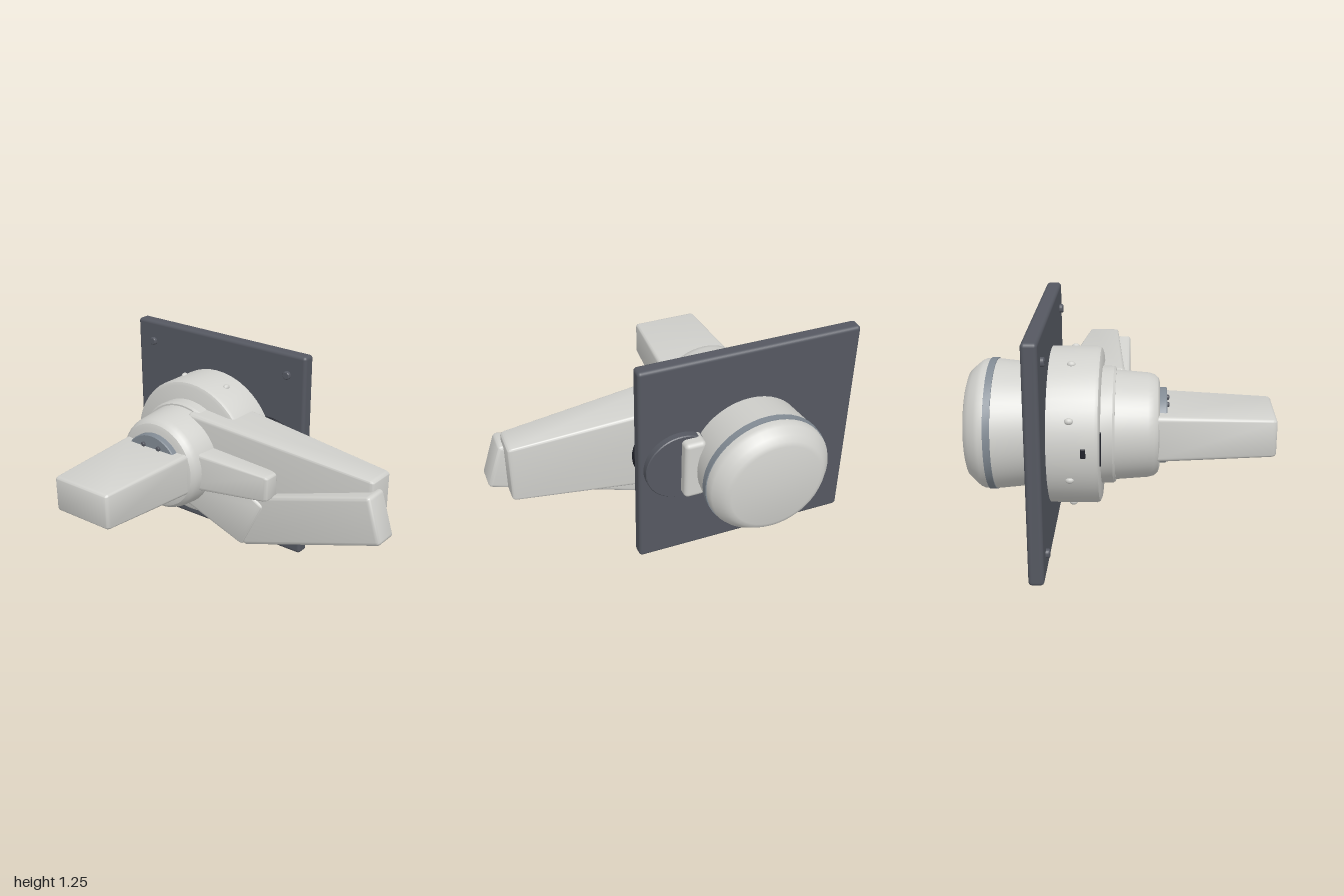
import * as THREE from 'three';
import { toCreasedNormals } from 'three/addons/utils/BufferGeometryUtils.js';
import { RoundedBoxGeometry } from 'three/addons/geometries/RoundedBoxGeometry.js';

const material = (name, color) => new THREE.MeshStandardMaterial({ name, color });
const CX = -0.375, CY = 0.635; // main axis of the mechanism

export function createModel() {
  const model = new THREE.Group();
  model.name = 'latchMechanism';
  const shell = material('lightGrey', 0xd0d0cc);
  const slate = material('slate', 0x555861);
  const steel = material('blueGrey', 0x828b94);
  const black = material('black', 0x20222a);

  function add(name, geometry, mat, x, y, z) {
    const mesh = new THREE.Mesh(geometry, mat);
    mesh.name = name;
    mesh.position.set(x, y, z);
    model.add(mesh);
    return mesh;
  }

  // Turned part on a z axis; profile is [radius, z] from back to front
  function turned(name, profile, mat, x = CX, y = CY) {
    const points = profile.map(([r, z]) => new THREE.Vector2(r, z));
    const g = toCreasedNormals(new THREE.LatheGeometry(points, 48), 0.5);
    return add(name, g.rotateX(Math.PI / 2), mat, x, y, 0);
  }

  const disc = (name, r, z0, z1, mat, x, y) =>
    turned(name, [[0, z0], [r - 0.005, z0], [r, z0 + 0.005], [r, z1 - 0.005], [r - 0.005, z1], [0, z1]], mat, x, y);

  const block = (name, w, h, d, radius, mat, x, y, z) =>
    add(name, new RoundedBoxGeometry(w, h, d, 3, radius), mat, x, y, z);

  // Rounded beam along +x, tapering from [height, depth] to [height, depth]
  function taperedBeam(length, from, to, radius = 0.025) {
    const g = new RoundedBoxGeometry(length, from[0], from[1], 3, radius);
    const p = g.attributes.position;
    for (let i = 0; i < p.count; i++) {
      const t = p.getX(i) / length + 0.5;
      p.setX(i, p.getX(i) + length / 2);
      p.setY(i, p.getY(i) * THREE.MathUtils.lerp(1, to[0] / from[0], t));
      p.setZ(i, p.getZ(i) * THREE.MathUtils.lerp(1, to[1] / from[1], t));
    }
    return toCreasedNormals(g, 0.6);
  }

  // Beam between two points in the xy plane
  function arm(name, a, b, z, from, to) {
    const dx = b[0] - a[0], dy = b[1] - a[1];
    const mesh = add(name, taperedBeam(Math.hypot(dx, dy), from, to), shell, a[0], a[1], z);
    mesh.rotation.z = Math.atan2(dy, dx);
  }

  // Mounting plate and its corner screws
  block('mountingPlate', 1.25, 1.25, 0.08, 0.02, slate, CX, CY, -0.405);
  for (const x of [-0.875, 0.13]) {
    for (const y of [0.13, 1.135]) disc('plateScrew', 0.024, -0.38, -0.345, slate, x, y);
  }

  // Front collar with rivets and indicator slots
  turned('collar', [[0.415, -0.38], [0.415, -0.125], [0.408, -0.108], [0.39, -0.1], [0, -0.1]], shell);
  for (let i = 0; i < 8; i++) {
    const a = (i + 0.5) * Math.PI / 4;
    const rivet = add('collarRivet', new THREE.SphereGeometry(0.018, 12, 8), shell,
      CX + Math.cos(a) * 0.411, CY + Math.sin(a) * 0.411, -0.25);
    rivet.scale.z = 1.3;
  }
  block('indicatorSlot', 0.014, 0.18, 0.01, 0.004, black, -0.727, CY, -0.098);
  block('sideSlot', 0.01, 0.05, 0.025, 0.004, black, -0.79, CY, -0.18);

  // Neck and front hub
  turned('neck', [[0.31, -0.11], [0.31, -0.04], [0.3, -0.028], [0, -0.028]], shell);
  turned('frontHub', [[0.292, -0.04], [0.277, 0.14], [0.268, 0.172], [0.25, 0.192], [0.225, 0.2], [0, 0.2]], shell);
  disc('hubCap', 0.2, 0.19, 0.237, steel, CX, CY);
  for (let i = 0; i < 8; i++) {
    const a = (i + 0.5) * Math.PI / 4;
    disc('capBolt', 0.014, 0.225, 0.25, slate, CX + Math.cos(a) * 0.145, CY + Math.sin(a) * 0.145);
  }

  // Forward handle
  const handle = add('forwardHandle', taperedBeam(0.63, [0.25, 0.46], [0.205, 0.385]), shell, CX, CY, 0.17);
  handle.rotation.y = -Math.PI / 2;

  // Side arms: long, cranked and short
  arm('longArm', [-0.3, CY], [0.89, CY], -0.15, [0.57, 0.33], [0.345, 0.175]);
  arm('crankedArmInner', [CX, CY], [0.19, 0.355], -0.055, [0.42, 0.26], [0.322, 0.19]);
  arm('crankedArmOuter', [0.075, 0.35], [0.955, 0.63], -0.058, [0.3, 0.178], [0.272, 0.148]);
  arm('shortArm', [-0.3, CY], [0.315, CY], 0.025, [0.26, 0.26], [0.145, 0.095]);

  // Rear drum with band and domed cap
  turned('rearDrum', [[0.346, -0.655], [0.322, -0.43]].map((p) => p), shell);
  turned('rearBand', [[0.34, -0.69], [0.35, -0.688], [0.35, -0.652], [0.34, -0.65]], steel);
  turned('rearCap', [[0, -0.803], [0.255, -0.803], [0.28, -0.795], [0.305, -0.77],
    [0.335, -0.735], [0.344, -0.715], [0.345, -0.685]], shell);

  // Adjusting dial through the plate, and its rear lug
  for (let i = 0; i < 4; i++) {
    const z = -0.362 + i * 0.0145;
    disc('frontDialRing', 0.218, z, z + 0.015, black, 0.022, CY);
  }
  disc('dialSpindle', 0.09, -0.45, -0.35, black, 0.022, CY);
  disc('rearDial', 0.203, -0.485, -0.44, slate, 0.022, CY);
  block('rearLug', 0.12, 0.36, 0.14, 0.025, shell, -0.035, CY, -0.473);

  return model;
}
